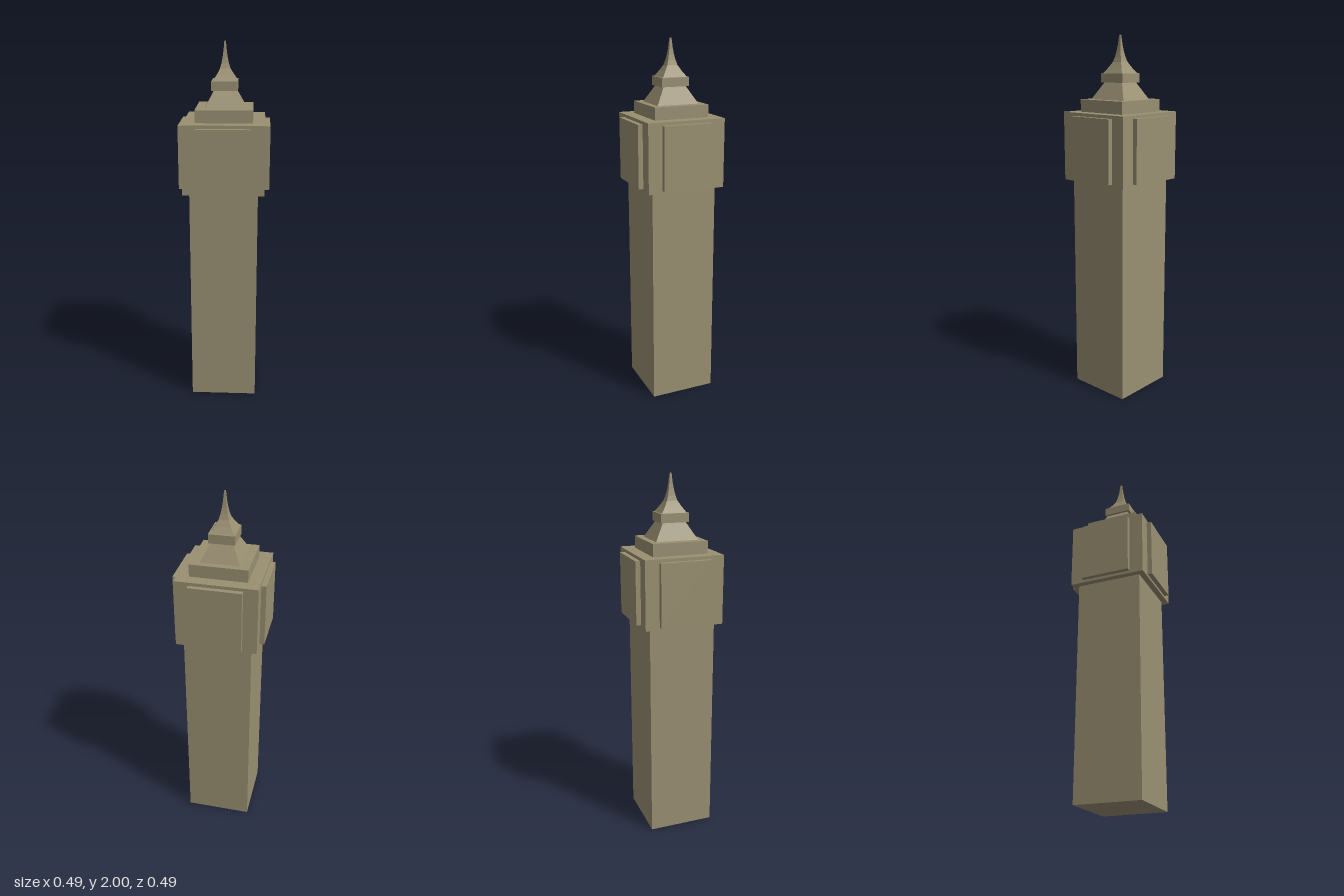
import * as THREE from 'three';

const stone = new THREE.MeshStandardMaterial({ color: 0x9a9072, flatShading: true });

export function createModel() {
  const tower = new THREE.Group();
  tower.name = 'clockTower';

  const add = (name, geometry) => {
    const mesh = new THREE.Mesh(geometry, stone);
    mesh.name = name;
    tower.add(mesh);
    return mesh;
  };

  // Box given by half-widths and its bottom and top heights
  const block = (name, hx, hz, y0, y1) => {
    const mesh = add(name, new THREE.BoxGeometry(hx * 2, y1 - y0, hz * 2));
    mesh.position.y = (y0 + y1) / 2;
    return mesh;
  };

  // Four-sided roof from [half-width, height] pairs; depth scales z
  const roof = (name, profile, depth) => {
    const points = profile.map(([r, y]) => new THREE.Vector2(r * Math.SQRT2, y));
    points.unshift(new THREE.Vector2(0, points[0].y));
    points.push(new THREE.Vector2(0, points[points.length - 1].y));
    const geometry = new THREE.LatheGeometry(points, 4, Math.PI / 4).toNonIndexed();
    geometry.scale(1, 1, depth);
    geometry.computeVertexNormals();
    return add(name, geometry);
  };

  // Shaft, clock chamber and stepped tier
  block('shaft', 0.183, 0.183, 0, 1.222);
  block('clockChamber', 0.217, 0.217, 1.222, 1.595);
  block('upperTier', 0.152, 0.152, 1.595, 1.662);

  // Raised clock panel on each of the four sides
  for (let i = 0; i < 4; i++) {
    const angle = i * Math.PI / 2;
    const panel = block('clockPanel', 0.14, 0.0165, 1.237, 1.578);
    panel.position.x = Math.sin(angle) * 0.2265;
    panel.position.z = Math.cos(angle) * 0.2265;
    panel.rotation.y = angle;
  }

  // Lower roof, collar and concave spire
  roof('lowerRoof', [[0.103, 1.662], [0.056, 1.752]], 1.14);
  block('collar', 0.069, 0.078, 1.752, 1.8);
  roof('spire', [
    [0.061, 1.8], [0.042, 1.83], [0.026, 1.86], [0.019, 1.885],
    [0.013, 1.915], [0.009, 1.945], [0.006, 1.975], [0.004, 2],
  ], 1.13);

  return tower;
}
